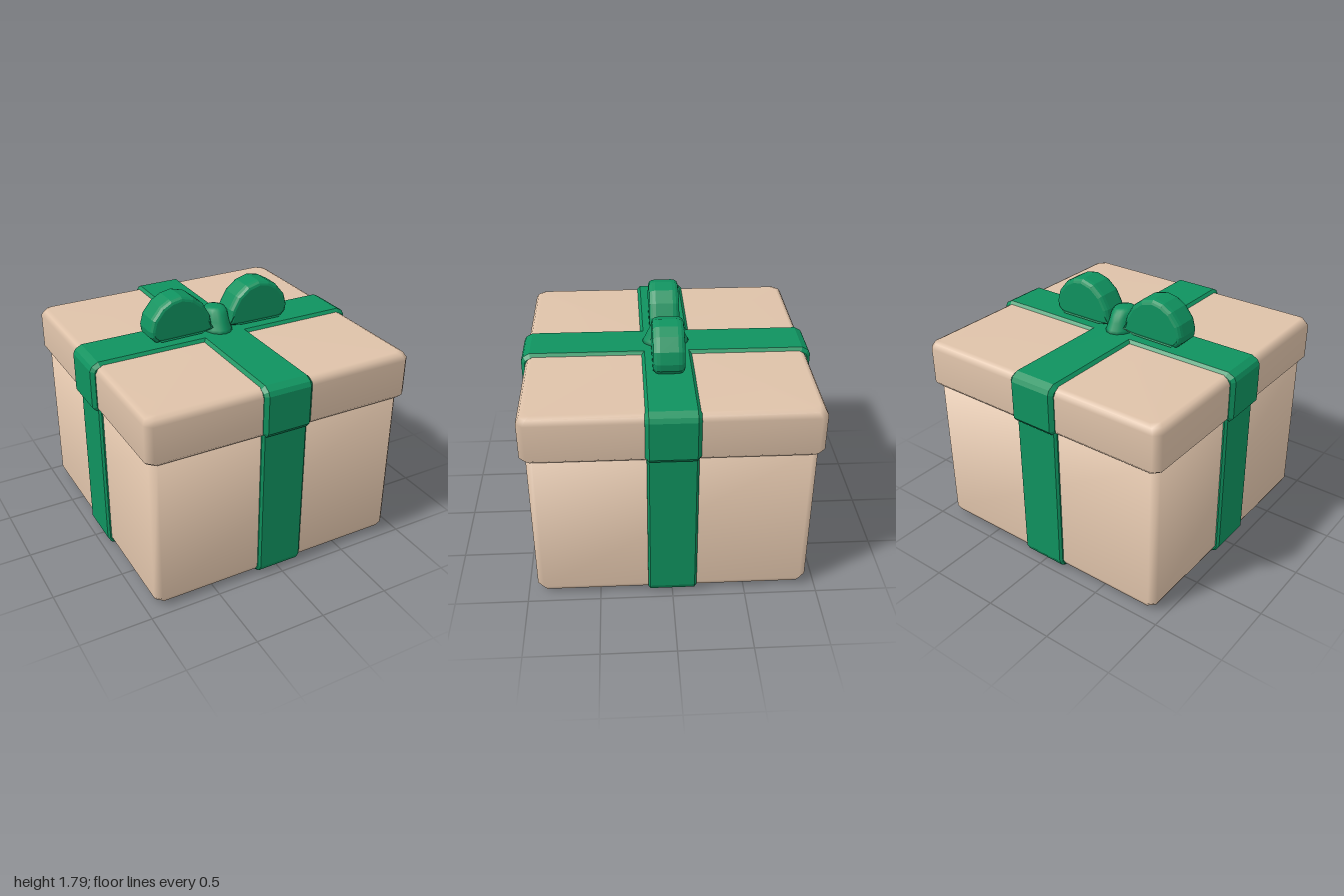
import * as THREE from 'three';

const paper = new THREE.MeshStandardMaterial({ color: 0xdec2a9 });
paper.name = 'beige paper';
const satin = new THREE.MeshStandardMaterial({ color: 0x0f925f });
satin.name = 'green ribbon';

function addMesh(parent, name, geometry, material) {
  const mesh = new THREE.Mesh(geometry, material);
  mesh.name = name;
  parent.add(mesh);
  return mesh;
}

// Closed skin over stacked rings, listed from bottom to top as { y, pts: [[x, z], ...] }
function loft(rings) {
  const n = rings[0].pts.length, pos = [], idx = [];
  for (const { y, pts } of rings) for (const [x, z] of pts) pos.push(x, y, z);
  for (let i = 0; i < rings.length - 1; i++) {
    for (let j = 0; j < n; j++) {
      const a = i * n + j, b = i * n + (j + 1) % n;
      idx.push(a, a + n, b, b, a + n, b + n);
    }
  }
  const low = pos.length / 3, high = low + 1, last = (rings.length - 1) * n;
  pos.push(0, rings[0].y, 0, 0, rings[rings.length - 1].y, 0);
  for (let j = 0; j < n; j++) {
    const k = (j + 1) % n;
    idx.push(low, j, k, high, last + k, last + j);
  }
  const geo = new THREE.BufferGeometry();
  geo.setAttribute('position', new THREE.Float32BufferAttribute(pos, 3));
  geo.setIndex(idx);
  geo.computeVertexNormals();
  return geo;
}

// Square ring of half size h with corners cut by c
function squareRing(y, h, c = 0.045) {
  const k = h - c;
  return { y, pts: [[h, -k], [h, k], [k, h], [-k, h], [-h, k], [-h, -k], [-k, -h], [k, -h]] };
}

function ovalRing(y, rx, rz, n = 16) {
  const pts = [];
  for (let i = 0; i < n; i++) {
    const a = (i / n) * Math.PI * 2;
    pts.push([rx * Math.cos(a), rz * Math.sin(a)]);
  }
  return { y, pts };
}

// Bevelled slab from an outline in x and y, centred on z = 0; the outline is its widest section
function slab(shape, width, size, thickness, segments = 1) {
  const depth = width - 2 * thickness;
  const geo = new THREE.ExtrudeGeometry(shape, {
    depth, bevelSize: size, bevelThickness: thickness, bevelOffset: -size,
    bevelSegments: segments, curveSegments: 12,
  });
  return geo.translate(0, 0, -depth / 2);
}

const toShape = (pts) => new THREE.Shape(pts.map(([x, y]) => new THREE.Vector2(x, y)));

// Mirror the right half of an outline (bottom to top) to close it
const mirrored = (half) => toShape([...half, ...half.map(([x, y]) => [-x, y]).reverse()]);

export function createModel() {
  const gift = new THREE.Group();
  gift.name = 'giftBox';

  // Box and overhanging lid
  addMesh(gift, 'boxBody', loft([
    squareRing(0.012, 0.875), squareRing(0.03, 0.915), squareRing(0.07, 0.935), squareRing(1.15, 0.935),
  ]), paper);
  addMesh(gift, 'lid', loft([
    squareRing(1.13, 0.915), squareRing(1.13, 0.95), squareRing(1.155, 0.97),
    squareRing(1.41, 0.97), squareRing(1.445, 0.95), squareRing(1.46, 0.92),
  ]), paper);

  // Ribbon bands crossing around the body and around the lid
  const bodyBand = mirrored([[0.9, 0], [0.935, 0.02], [0.96, 0.065], [0.96, 1.14]]);
  const lidBand = mirrored([[0.975, 1.125], [1, 1.155], [1, 1.425], [0.985, 1.455], [0.94, 1.48]]);
  ['Across', 'FrontToBack'].forEach((label, i) => {
    const body = addMesh(gift, 'bodyRibbon' + label, slab(bodyBand, 0.335, 0.015, 0.015), satin);
    const lid = addMesh(gift, 'lidRibbon' + label, slab(lidBand, 0.355, 0.025, 0.025), satin);
    body.rotation.y = lid.rotation.y = i * Math.PI / 2;
  });

  // Bow: two hollow loops and a flared knot
  const bow = new THREE.Group();
  bow.name = 'bow';
  gift.add(bow);
  const outline = [[0.06, 1.5], [0.12, 1.487], [0.49, 1.485], [0.53, 1.525], [0.537, 1.575], [0.515, 1.655],
    [0.45, 1.735], [0.38, 1.775], [0.3, 1.79], [0.21, 1.765], [0.13, 1.7], [0.08, 1.61]];
  const opening = [[0.105, 1.535], [0.16, 1.525], [0.45, 1.522], [0.475, 1.55], [0.46, 1.605],
    [0.41, 1.652], [0.34, 1.675], [0.27, 1.668], [0.2, 1.635], [0.14, 1.58]];
  for (const side of [1, -1]) {
    const shape = toShape(outline);
    shape.holes.push(new THREE.Path(opening.map(([x, y]) => new THREE.Vector2(x, y))));
    const loop = addMesh(bow, side > 0 ? 'leftLoop' : 'rightLoop', slab(shape, 0.21, 0.03, 0.045, 3), satin);
    if (side < 0) loop.rotation.y = Math.PI;
  }
  addMesh(bow, 'knot', loft([
    ovalRing(1.47, 0.115, 0.168), ovalRing(1.5, 0.1, 0.153), ovalRing(1.55, 0.088, 0.128),
    ovalRing(1.6, 0.083, 0.104), ovalRing(1.625, 0.068, 0.08), ovalRing(1.634, 0.04, 0.05),
  ]), satin);

  return gift;
}
